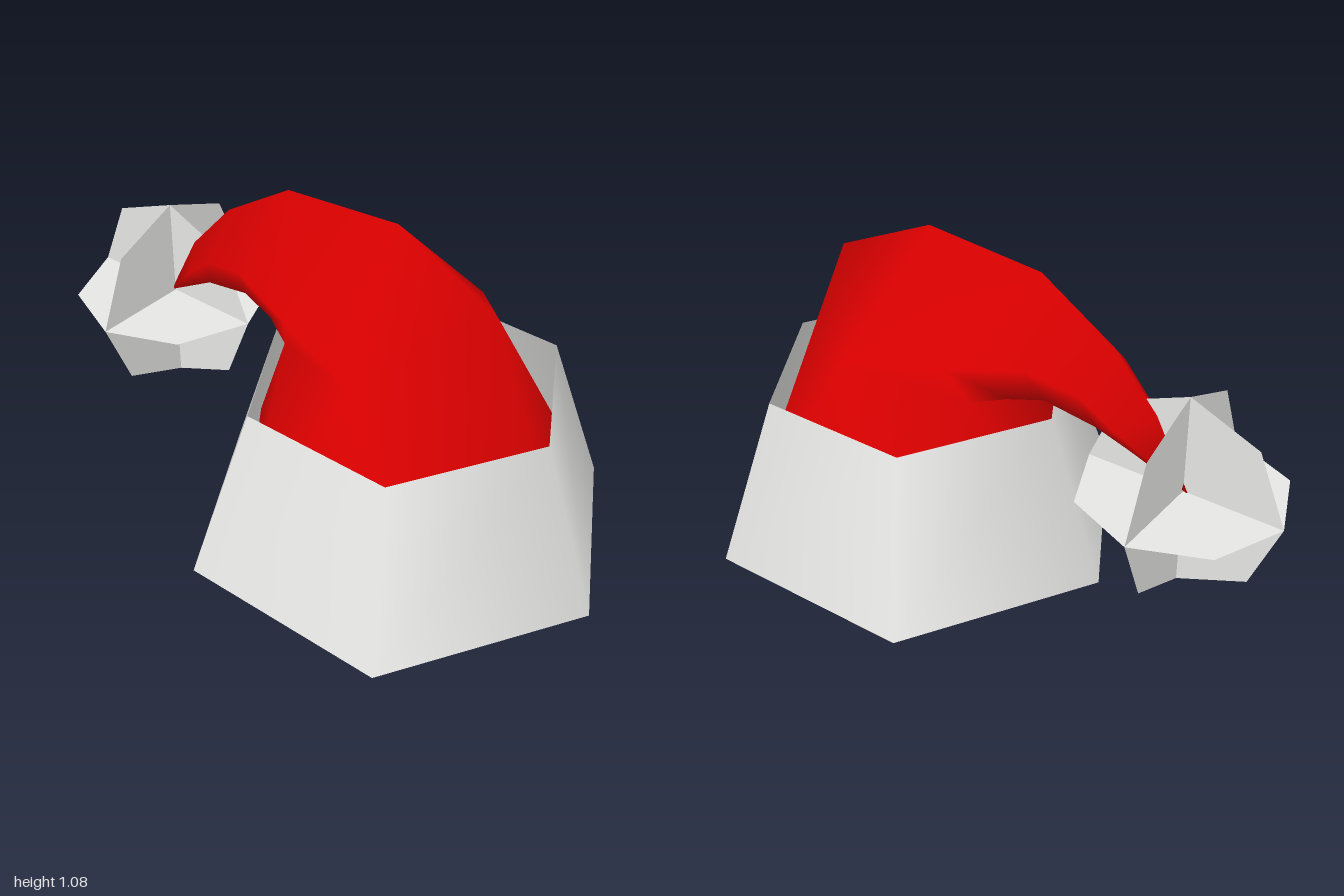
import * as THREE from 'three';

const red = new THREE.MeshStandardMaterial({ color: 0xdb0000, side: THREE.DoubleSide });
red.name = 'red felt';
const white = new THREE.MeshStandardMaterial({ color: 0xe6e6e4, side: THREE.DoubleSide });
white.name = 'white trim';

// Half cross-sections of the drooping cap, from base to tip.
// Each holds the ridge, upper side, lower side and underside point.
const sections = [
  [[0, 0.15, 0.91], [0.47, 0.15, 0.64], [0.54, 0.15, 0.1], [0, 0.15, -0.3]],
  [[0, 0.91, 0.6], [0.33, 0.715, 0.34], [0.18, 0.635, -0.03], [0, 0.63, -0.12]],
  [[0, 1.075, 0.25], [0.24, 0.765, 0.02], [0.13, 0.66, -0.13], [0, 0.65, -0.18]],
  [[0, 1.04, -0.16], [0.175, 0.81, -0.22], [0.11, 0.69, -0.25], [0, 0.67, -0.25]],
  [[0, 0.88, -0.41], [0.13, 0.76, -0.38], [0.09, 0.65, -0.42], [0, 0.63, -0.42]],
  [[0, 0.7, -0.57], [0.1, 0.66, -0.5], [0.06, 0.59, -0.52], [0, 0.575, -0.5]],
];
const tip = [0, 0.47, -0.69];

// Full six-point ring: ridge, left pair, underside, right pair
function fullRing([ridge, upper, lower, under]) {
  const flip = ([x, y, z]) => [-x, y, z];
  return [ridge, upper, lower, under, flip(lower), flip(upper)];
}

function capGeometry() {
  const positions = [...sections.flatMap(fullRing), tip].flat();
  const index = [];
  const tipIndex = sections.length * 6;

  const addSide = (order, mirrored) => {
    const face = (a, b, c) => index.push(...(mirrored ? [a, c, b] : [a, b, c]));
    for (let i = 0; i < sections.length; i++) {
      for (let j = 0; j < 3; j++) {
        const a = i * 6 + order[j];
        const b = i * 6 + order[j + 1];
        if (i === sections.length - 1) {
          face(a, b, tipIndex);
        } else {
          face(a, b, a + 6);
          face(b, b + 6, a + 6);
        }
      }
    }
  };
  addSide([0, 1, 2, 3], false);
  addSide([0, 5, 4, 3], true);

  const geometry = new THREE.BufferGeometry();
  geometry.setAttribute('position', new THREE.Float32BufferAttribute(positions, 3));
  geometry.setIndex(index);
  geometry.computeVertexNormals();
  return geometry;
}

// Shallow domed lining that closes the cap just above the opening
function liningGeometry() {
  const ring = fullRing(sections[0]);
  const center = [0, 0.22, 0.32];
  const positions = ring.flatMap((point, i) => [...center, ...ring[(i + 1) % 6], ...point]);
  const geometry = new THREE.BufferGeometry();
  geometry.setAttribute('position', new THREE.Float32BufferAttribute(positions, 3));
  geometry.computeVertexNormals();
  return geometry;
}

// Open six-sided brim, smooth except for one hard seam at its right rear corner
function bandGeometry() {
  const seam = Math.PI * 4 / 3;
  const geometry = new THREE.CylinderGeometry(0.507, 0.7, 0.55, 6, 1, true, seam);
  const normals = geometry.attributes.normal;
  const normal = new THREE.Vector3();
  for (const row of [0, 7]) {
    for (const [column, turn] of [[0, Math.PI / 6], [6, -Math.PI / 6]]) {
      normal.set(Math.sin(seam + turn), 0.3, Math.cos(seam + turn)).normalize();
      normals.setXYZ(row + column, normal.x, normal.y, normal.z);
    }
  }
  return geometry;
}

export function createModel() {
  const model = new THREE.Group();
  model.name = 'hat';

  const addPart = (parent, name, geometry, material) => {
    const mesh = new THREE.Mesh(geometry, material);
    mesh.name = name;
    parent.add(mesh);
    return mesh;
  };

  addPart(model, 'droopingCap', capGeometry(), red);
  addPart(model, 'capLining', liningGeometry(), red);
  addPart(model, 'brimBand', bandGeometry(), white).position.set(0, 0.275, 0.3);

  // Pompom made of three crossed octagonal discs
  const pompom = new THREE.Group();
  pompom.name = 'pompom';
  pompom.position.set(0, 0.475, -0.673);
  const turns = [[0, 0], [Math.PI / 2, 0], [0, Math.PI / 2]];
  turns.forEach(([x, y], i) => {
    const disc = addPart(pompom, 'pompomDisc' + (i + 1), new THREE.CircleGeometry(0.327, 8), white);
    disc.rotation.set(x, y, 0);
  });
  model.add(pompom);

  return model;
}
